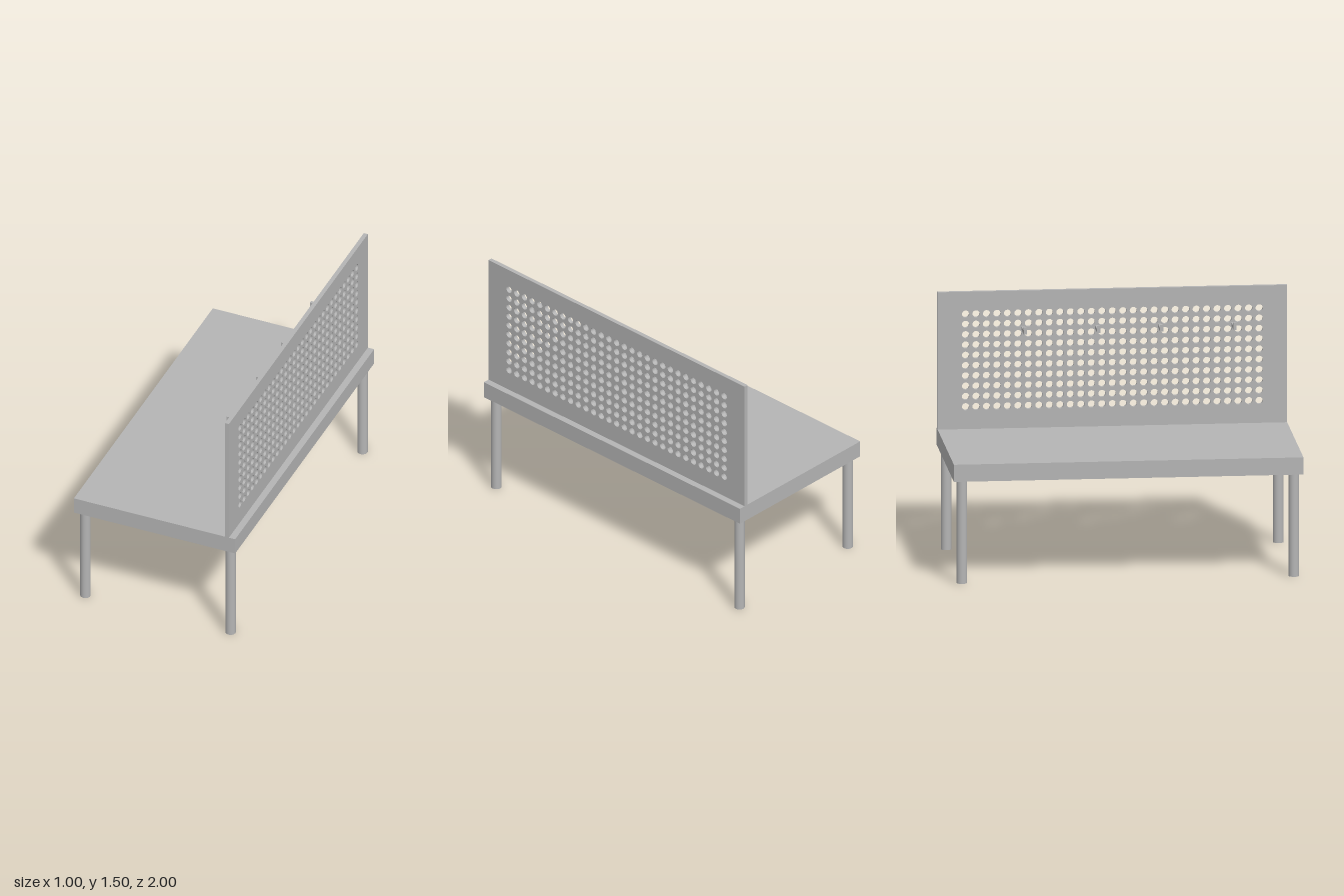
import * as THREE from 'three';

export function createModel() {
  const model = new THREE.Group();
  model.name = 'workbench';
  const grey = new THREE.MeshStandardMaterial({ color: 0xb4b4b4 });
  grey.name = 'grey';

  const add = (name, geometry, x, y, z, parent = model) => {
    const mesh = new THREE.Mesh(geometry, grey);
    mesh.name = name;
    mesh.position.set(x, y, z);
    parent.add(mesh);
    return mesh;
  };

  // Table top
  add('tableTop', new THREE.BoxGeometry(1, 0.1, 2), 0, 0.65, 0);

  // Four round legs
  const legGeometry = new THREE.CylinderGeometry(0.03, 0.03, 0.6, 32);
  for (const x of [-0.45, 0.45]) {
    for (const z of [-0.95, 0.95]) {
      add((z > 0 ? 'front' : 'back') + (x > 0 ? 'Left' : 'Right') + 'Leg', legGeometry, x, 0.3, z);
    }
  }

  // Pegboard: shape drawn across z and y, with a regular grid of round holes
  const board = new THREE.Shape();
  board.moveTo(-1, 0.7).lineTo(1, 0.7).lineTo(1, 1.5).lineTo(-1, 1.5).closePath();
  const columns = 29, rows = 10, pitch = 0.06;
  for (let c = 0; c < columns; c++) {
    for (let r = 0; r < rows; r++) {
      const hole = new THREE.Path();
      hole.absarc((c - (columns - 1) / 2) * pitch, 0.83 + r * pitch, 0.021, 0, Math.PI * 2, true);
      board.holes.push(hole);
    }
  }
  const boardGeometry = new THREE.ExtrudeGeometry(board, { depth: 0.025, bevelEnabled: false, curveSegments: 20 });
  boardGeometry.rotateY(Math.PI / 2);
  add('pegboard', boardGeometry, 0.436, 0, 0);

  // Hooks: a straight arm with an upturned lip, set between the holes
  const profile = new THREE.Shape();
  profile.moveTo(0, -0.01).lineTo(0, 0.01).lineTo(-0.1, 0.01).lineTo(-0.1, 0.03)
    .lineTo(-0.119, 0.03).lineTo(-0.119, -0.01).closePath();
  const hookGeometry = new THREE.ExtrudeGeometry(profile, { depth: 0.018, bevelEnabled: false });
  hookGeometry.translate(0, 0, -0.009);
  const hooks = new THREE.Group();
  hooks.name = 'hooks';
  model.add(hooks);
  for (const z of [-0.51, -0.09, 0.27, 0.69]) add('hook', hookGeometry, 0.436, 1.28, z, hooks);

  return model;
}
